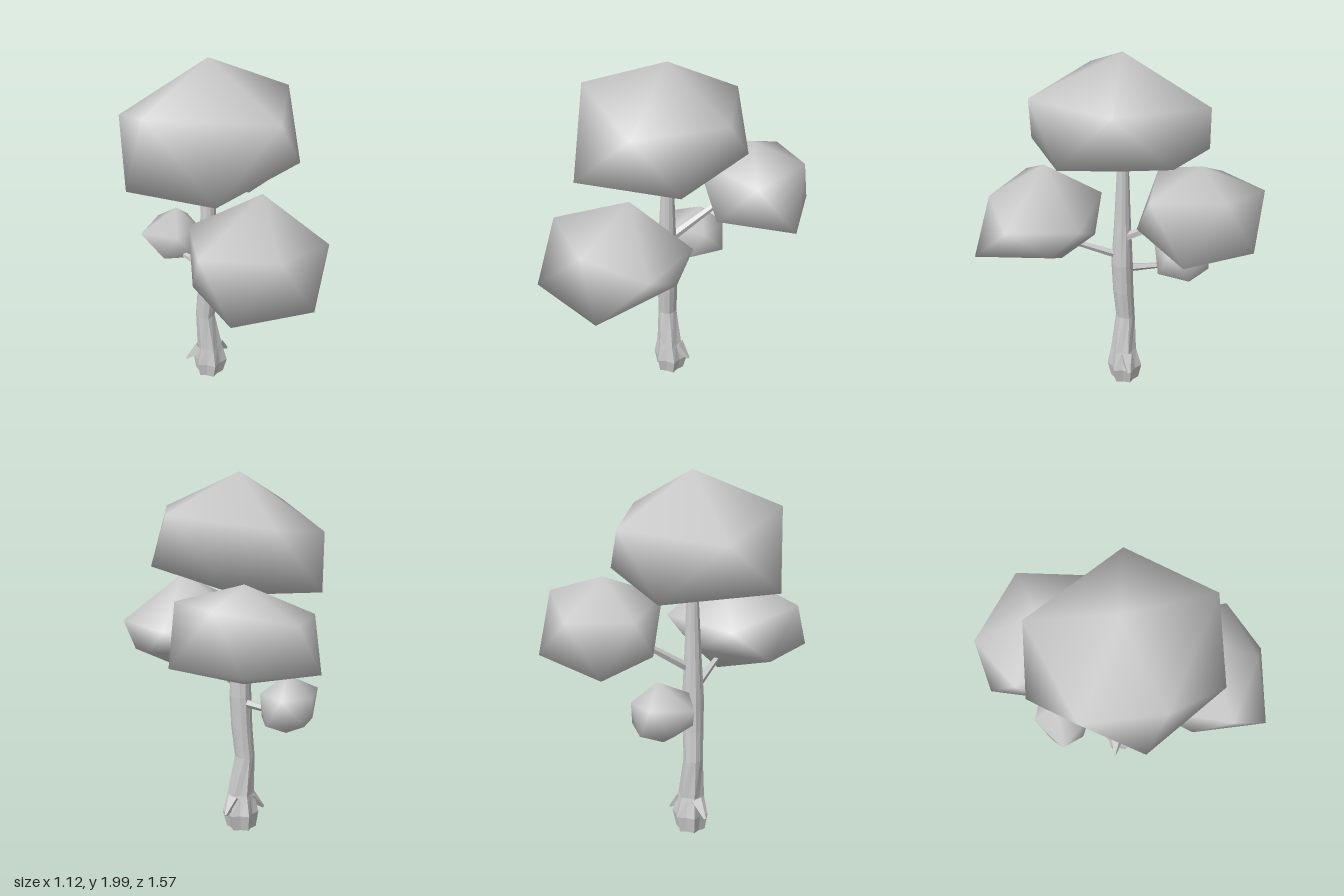
import * as THREE from 'three';
import { mergeVertices } from 'three/addons/utils/BufferGeometryUtils.js';
import { ConvexGeometry } from 'three/addons/geometries/ConvexGeometry.js';

const vec = (p) => new THREE.Vector3(...p);
const smooth = new THREE.MeshStandardMaterial({ color: 0xcccccc });
const faceted = new THREE.MeshStandardMaterial({ color: 0xcccccc, flatShading: true, side: THREE.DoubleSide });

// Leaf clump: twelve-cornered convex lump with smooth normals
function clump(name, top, upper, lower, bottom) {
  let geo = new ConvexGeometry([top, ...upper, ...lower, bottom].map(vec));
  geo.deleteAttribute('normal');
  geo = mergeVertices(geo, 1e-4);
  geo.computeVertexNormals();
  const mesh = new THREE.Mesh(geo, smooth);
  mesh.name = name;
  return mesh;
}

// Trunk: rings of [y, x, z, radius, ridge depth], open at the base
function trunk() {
  const sides = 12;
  const rings = [
    [0.01, -0.13, 0.02, 0.076, 0.16],
    [0.1, -0.125, 0.018, 0.094, 0.16],
    [0.21, -0.125, 0.025, 0.07, 0.12],
    [0.43, -0.147, 0.03, 0.054, 0.04],
    [0.6, -0.129, 0.033, 0.058, 0.03],
    [0.78, -0.12, 0.035, 0.06, 0.04],
    [1.05, -0.12, 0.033, 0.046, 0],
    [1.42, -0.118, 0.03, 0.03, 0],
  ];
  const pos = [], index = [];
  rings.forEach(([y, x, z, r, ridge], j) => {
    for (let i = 0; i < sides; i++) {
      const a = (i / sides) * Math.PI * 2;
      const rr = r * (1 + (i % 2 ? -ridge : ridge * 0.5));
      pos.push(x + rr * Math.cos(a), y, z + rr * Math.sin(a));
      if (j === 0) continue;
      const k = (i + 1) % sides, lo = (j - 1) * sides, hi = j * sides;
      index.push(lo + i, hi + i, lo + k, lo + k, hi + i, hi + k);
    }
  });
  const geo = new THREE.BufferGeometry();
  geo.setAttribute('position', new THREE.Float32BufferAttribute(pos, 3));
  geo.setIndex(index);
  geo.computeVertexNormals();
  const mesh = new THREE.Mesh(geo, faceted);
  mesh.name = 'trunk';
  return mesh;
}

// Tapered limb between two points
function limb(name, from, to, r0, r1, sides = 5) {
  const a = vec(from), b = vec(to), dir = b.clone().sub(a);
  const mesh = new THREE.Mesh(new THREE.CylinderGeometry(r1, r0, dir.length(), sides), faceted);
  mesh.position.copy(a).add(b).multiplyScalar(0.5);
  mesh.quaternion.setFromUnitVectors(new THREE.Vector3(0, 1, 0), dir.normalize());
  mesh.name = name;
  return mesh;
}

export function createModel() {
  const tree = new THREE.Group();
  tree.name = 'tree';
  tree.add(trunk());

  // Root spurs pointing out and down
  [[-0.255, 0.11, 0.07], [-0.045, 0.11, -0.075]].forEach(([x, y, z], i) =>
    tree.add(limb('rootSpur' + (i + 1), [-0.125 + (x + 0.125) * 0.4, 0.19, 0.02 + (z - 0.02) * 0.4], [x, y, z], 0.04, 0.008, 4)));

  // Branches
  tree.add(limb('frontBranch', [-0.11, 0.83, 0.05], [0.09, 0.94, 0.24], 0.024, 0.016));
  tree.add(limb('backBranch', [-0.12, 0.95, 0.01], [-0.15, 1.15, -0.31], 0.026, 0.015));
  tree.add(limb('smallBranch', [-0.14, 0.745, 0.02], [-0.295, 0.735, -0.1], 0.025, 0.016));

  // Leaf clumps
  tree.add(clump('topCrown', [-0.11, 2, 0.03],
    [[0.26, 1.79, -0.2], [0.305, 1.8, 0.31], [-0.34, 1.83, 0.435], [-0.565, 1.68, 0.1], [-0.3, 1.74, -0.4]],
    [[0.37, 1.49, 0.07], [0.04, 1.46, 0.55], [-0.45, 1.41, 0.4], [-0.54, 1.41, -0.25], [0, 1.49, -0.38]],
    [-0.1, 1.345, 0.03]));
  tree.add(clump('frontCrown', [0.22, 1.42, 0.3],
    [[0.56, 1.15, 0.27], [0.36, 1.21, 0.58], [-0.024, 1.23, 0.66], [-0.18, 1.14, 0.23], [0.3, 1.14, -0.01]],
    [[0.53, 0.92, 0.54], [0.16, 0.95, 0.785], [-0.1, 0.94, 0.48], [0.04, 1, 0.1], [0.4, 1, 0.1]],
    [0.15, 0.85, 0.25]));
  tree.add(clump('backCrown', [-0.15, 1.48, -0.45],
    [[-0.5, 1.32, -0.36], [-0.41, 1.32, -0.68], [0, 1.39, -0.7], [0.2, 1.38, -0.38], [-0.2, 1.38, -0.15]],
    [[-0.53, 1.05, -0.53], [-0.15, 1.09, -0.785], [0.21, 1.09, -0.6], [0.06, 1.13, -0.2], [-0.42, 1.12, -0.25]],
    [-0.15, 0.98, -0.46]));
  tree.add(clump('smallCrown', [-0.37, 0.97, -0.22],
    [[-0.54, 0.86, -0.07], [-0.32, 0.88, -0.04], [-0.23, 0.86, -0.21], [-0.34, 0.86, -0.35], [-0.5, 0.86, -0.29]],
    [[-0.26, 0.72, -0.33], [-0.24, 0.71, -0.13], [-0.4, 0.73, -0.04], [-0.51, 0.72, -0.17], [-0.46, 0.72, -0.33]],
    [-0.37, 0.64, -0.19]));
  return tree;
}
